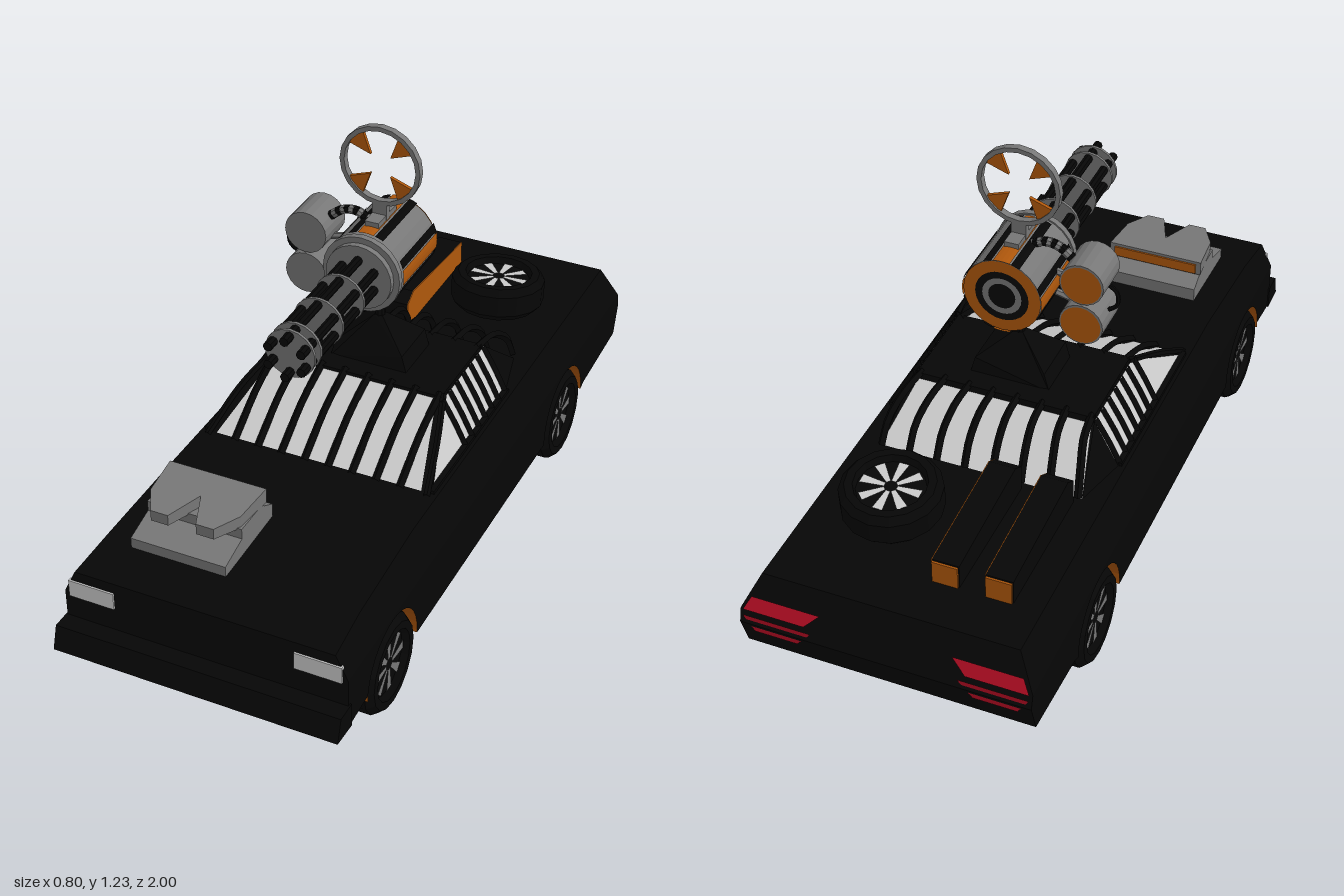
import * as THREE from 'three';

const mat = color => new THREE.MeshStandardMaterial({ color, side: THREE.DoubleSide, flatShading: true });
const BLACK = mat(0x060606), GREY = mat(0x777777), LIGHT = mat(0xcccccc), ORANGE = mat(0xb0580c), RED = mat(0xb80d24);
const V = (x, y, z) => new THREE.Vector3(x, y, z);
const shapeOf = pts => new THREE.Shape(pts.map(p => new THREE.Vector2(...p)));

export function createModel() {
  const root = new THREE.Group();
  const add = (name, geo, m, pos = [0, 0, 0], rot = [0, 0, 0], parent = root) => {
    const mesh = new THREE.Mesh(geo, m);
    mesh.name = name;
    mesh.position.set(...pos);
    mesh.rotation.set(...rot);
    parent.add(mesh);
    return mesh;
  };
  const box = (name, m, size, pos) => add(name, new THREE.BoxGeometry(...size), m, pos);
  const cylZ = (name, m, r, z0, z1, x, y, sides = 16) =>
    add(name, new THREE.CylinderGeometry(r, r, z1 - z0, sides), m, [x, y, (z0 + z1) / 2], [Math.PI / 2, 0, 0]);
  const tube = (name, m, pts, r, sides = 6, seg = 10) =>
    add(name, new THREE.TubeGeometry(new THREE.CatmullRomCurve3(pts), seg, r, sides), m);
  // flat convex panel from corner points
  const panel = pts => {
    const g = new THREE.BufferGeometry().setFromPoints(pts);
    const idx = [];
    for (let i = 1; i < pts.length - 1; i++) idx.push(0, i, i + 1);
    g.setIndex(idx);
    g.computeVertexNormals();
    return g;
  };
  // side profile of [z, y] points extruded from x0 to x1
  const slab = (name, m, pts, x0, x1) =>
    add(name, new THREE.ExtrudeGeometry(shapeOf(pts.map(([z, y]) => [-z, y])), { depth: x1 - x0, bevelEnabled: false }), m, [x0, 0, 0], [0, Math.PI / 2, 0]);

  // ---- body: strips across the car, then the two sides ----
  const width = y => y <= 0.3 ? 0.398 : 0.398 - (y - 0.3) * 0.48;
  const strip = (name, m, pts) => {
    for (let i = 0; i < pts.length - 1; i++) {
      const [z0, y0] = pts[i], [z1, y1] = pts[i + 1], a = width(y0), b = width(y1);
      add(name, panel([V(-a, y0, z0), V(a, y0, z0), V(b, y1, z1), V(-b, y1, z1)]), m);
    }
  };
  const AXLES = [0.67, -0.535];
  strip('bodyTop', BLACK, [[0.93, 0.15], [0.93, 0.3], [0.93, 0.37], [0.78, 0.385], [0.45, 0.4], [-0.95, 0.4], [-0.99, 0.3], [-1, 0.26], [-0.97, 0.17]]);
  const lower = new THREE.Shape();
  lower.moveTo(-0.93, 0.15);
  lower.lineTo(-AXLES[0] - 0.15, 0.16);
  lower.absarc(-AXLES[0], 0.14, 0.15, Math.PI, 0, true);
  lower.lineTo(-AXLES[0] + 0.15, 0.13);
  lower.lineTo(-AXLES[1] - 0.15, 0.13);
  lower.absarc(-AXLES[1], 0.14, 0.15, Math.PI, 0, true);
  lower.lineTo(0.71, 0.15);
  lower.lineTo(0.97, 0.17);
  // floor follows the lower edge, with a tunnel over each axle
  strip('floor', ORANGE, lower.getPoints(8).map(p => [-p.x, p.y]));
  [[1, 0.26], [0.99, 0.3], [-0.93, 0.3]].forEach(p => lower.lineTo(...p));
  const upper = shapeOf([[-0.93, 0.3], [0.99, 0.3], [0.95, 0.4], [-0.45, 0.4], [-0.78, 0.385], [-0.93, 0.37]]);
  for (const s of [1, -1]) for (const shape of [lower, upper]) {
    const g = new THREE.ShapeGeometry(shape, 8), p = g.attributes.position;
    for (let i = 0; i < p.count; i++) p.setXYZ(i, s * width(p.getY(i)), p.getY(i), -p.getX(i));
    if (s < 0) g.index.array.reverse();
    g.computeVertexNormals();
    add('bodySide', g, BLACK);
  }
  slab('frontBumper', BLACK, [[0.92, 0.15], [1, 0.155], [0.98, 0.22], [0.92, 0.22]], -0.402, 0.402);

  // ---- lamps ----
  for (const s of [1, -1]) {
    box('headlight', LIGHT, [0.13, 0.05, 0.012], [s * 0.318, 0.315, 0.929]);
    add('tailLightUpper', panel([V(s * 0.18, 0.338, -0.979), V(s * 0.37, 0.338, -0.979), V(s * 0.39, 0.3, -0.994), V(s * 0.22, 0.3, -0.994)]), RED);
    add('tailLightLower', panel([V(s * 0.2, 0.285, -0.998), V(s * 0.39, 0.285, -0.998), V(s * 0.36, 0.235, -0.996), V(s * 0.24, 0.235, -0.996)]), RED);
  }

  // ---- wheels, axles and drive shaft ----
  const wheel = (name, w, spokeMat) => {
    const g = new THREE.Group(), h = w / 2;
    g.name = name;
    const pts = [[0, -h + 0.02], [0.092, -h + 0.02], [0.098, -h], [0.12, -h], [0.137, -h + 0.02], [0.137, h - 0.02], [0.12, h], [0.098, h], [0.092, h - 0.02], [0, h - 0.02]];
    add('tyre', new THREE.LatheGeometry(pts.map(p => new THREE.Vector2(...p)), 16), BLACK, undefined, undefined, g);
    for (const s of [1, -1]) for (let i = 0; i < 8; i++) {
      const a = i * Math.PI / 4, y = s * (h - 0.014);
      const at = (r, t) => V(r * Math.cos(a + t), y, r * Math.sin(a + t));
      const pts = [at(0.018, -0.35), at(0.085, -0.17), at(0.085, 0.17), at(0.018, 0.35)];
      add('spoke', panel(s > 0 ? pts.reverse() : pts), spokeMat, undefined, undefined, g);
    }
    root.add(g);
    return g;
  };
  for (const z of AXLES) {
    for (const s of [1, -1]) {
      const w = wheel('wheel', 0.125, GREY);
      w.position.set(s * 0.339, 0.14, z);
      w.rotation.z = Math.PI / 2;
    }
    add('axle', new THREE.CylinderGeometry(0.016, 0.016, 0.6, 8), LIGHT, [0, 0.135, z], [0, 0, Math.PI / 2]);
  }
  slab('driveShaft', LIGHT, [[0.67, 0.12], [0.55, 0.08], [-0.4, 0.08], [-0.535, 0.12], [-0.535, 0.15], [-0.4, 0.122], [0.55, 0.122], [0.67, 0.15]], -0.03, 0.03);

  // ---- cabin ----
  add('windscreen', panel([V(-0.32, 0.4, 0.29), V(0.32, 0.4, 0.29), V(0.25, 0.53, 0.05), V(-0.25, 0.53, 0.05)]), LIGHT);
  add('rearWindow', panel([V(0.29, 0.4, -0.39), V(-0.29, 0.4, -0.39), V(-0.25, 0.52, -0.22), V(0.25, 0.52, -0.22)]), LIGHT);
  box('roof', BLACK, [0.51, 0.02, 0.28], [0, 0.527, -0.085]);
  for (const s of [1, -1]) {
    add('sideWindow', panel([V(s * 0.33, 0.4, 0.29), V(s * 0.33, 0.4, -0.23), V(s * 0.26, 0.53, -0.23), V(s * 0.26, 0.53, 0.05)]), LIGHT);
    add('rearQuarter', panel([V(s * 0.33, 0.4, -0.23), V(s * 0.29, 0.4, -0.39), V(s * 0.26, 0.53, -0.23)]), BLACK);
    add('frontPillar', panel([V(s * 0.305, 0.4, 0.296), V(s * 0.335, 0.4, 0.29), V(s * 0.265, 0.533, 0.05), V(s * 0.24, 0.534, 0.05)]), BLACK);
    tube('pillarBar', BLACK, [V(s * 0.325, 0.4, 0.305), V(s * 0.295, 0.48, 0.17), V(s * 0.255, 0.535, 0.04)], 0.009, 5);
    box('sideRail', BLACK, [0.02, 0.012, 0.52], [s * 0.33, 0.404, 0.03]);
    // side louvres lean with the window
    for (let i = 0; i < 7; i++) {
      const z = 0.06 - i * 0.047;
      tube('sideLouvre', BLACK, [V(s * 0.332, 0.4, z), V(s * 0.3, 0.465, z), V(s * 0.26, 0.533, z)], 0.01, 4, 4);
    }
  }
  // bars over windscreen and rear window
  for (let i = 0; i < 8; i++) {
    const x = (i - 3.5) * 0.07;
    tube('windscreenBar', BLACK, [V(x, 0.4, 0.3), V(x, 0.488, 0.165), V(x, 0.537, 0.04)], 0.011, 4, 6);
    tube('rearWindowBar', BLACK, [V(x, 0.533, -0.21), V(x * 1.05, 0.525, -0.3), V(x * 1.12, 0.48, -0.365), V(x * 1.15, 0.41, -0.4)], 0.011, 4, 8);
  }

  // ---- bonnet scoop ----
  slab('scoopBase', GREY, [[0.8, 0.385], [0.8, 0.415], [0.71, 0.44], [0.71, 0.47], [0.59, 0.47], [0.59, 0.46], [0.545, 0.435], [0.545, 0.39]], -0.275, -0.003);
  const lid = shapeOf([[-0.28, -0.58], [0, -0.58], [-0.01, -0.7], [-0.05, -0.77], [-0.1, -0.77], [-0.14, -0.67], [-0.18, -0.77], [-0.23, -0.77], [-0.27, -0.7]]);
  const lidGeo = new THREE.ExtrudeGeometry(lid, { depth: 0.035, bevelEnabled: false }), lp = lidGeo.attributes.position;
  // roof of the scoop dips toward its nose
  for (let i = 0; i < lp.count; i++) if (lp.getZ(i) > 0.01) lp.setZ(i, 0.043 + (lp.getY(i) + 0.58) * 0.06);
  add('scoopLid', lidGeo, GREY, [0, 0.466, 0], [-Math.PI / 2, 0, 0]);
  box('scoopMouth', ORANGE, [0.25, 0.03, 0.006], [-0.14, 0.485, 0.578]);

  // ---- boot: spare wheel and two ducts ----
  const spare = wheel('spareWheel', 0.1, LIGHT);
  spare.position.set(0.14, 0.465, -0.63);
  spare.rotation.x = -0.1;
  for (const x of [-0.235, -0.09]) {
    const profile = [[-0.41, 0.395], [-0.41, 0.475], [-0.45, 0.5], [-0.81, 0.47], [-0.81, 0.395]];
    slab('duct', BLACK, profile, x - 0.038, x + 0.036);
    slab('ductInnerWall', ORANGE, profile, x + 0.036, x + 0.038);
    box('ductOutlet', ORANGE, [0.07, 0.065, 0.008], [x, 0.433, -0.812]);
  }

  // ---- turret mount ----
  const GX = 0.01, GY = 0.848, GZ = -0.085;
  const mount = shapeOf([[-0.115, 0.53], [0.115, 0.53], [0.1, 0.585], [0.012, 0.655], [-0.012, 0.655], [-0.1, 0.585]]);
  const mg = new THREE.ExtrudeGeometry(mount, { depth: 0.155, bevelEnabled: false }), mp = mg.attributes.position;
  for (let i = 0; i < mp.count; i++) mp.setZ(i, (mp.getZ(i) - 0.0775) * (mp.getY(i) > 0.6 ? 0.15 : 1));
  add('turretMount', mg, BLACK, [GX, 0, GZ]);
  add('turretPost', new THREE.CylinderGeometry(0.014, 0.014, 0.12, 8), BLACK, [GX, 0.69, GZ]);
  box('lowerBracket', GREY, [0.03, 0.035, 0.12], [GX, 0.73, GZ]);

  // ---- rotary gun ----
  cylZ('housing', GREY, 0.108, -0.205, 0.035, GX, GY, 24);
  cylZ('housingFront', GREY, 0.095, 0.035, 0.055, GX, GY, 24);
  cylZ('housingLip', GREY, 0.112, 0.02, 0.038, GX, GY, 24);
  for (let q = 0; q < 4; q++) for (const [m, off, span] of [[ORANGE, 0, 0.42], [BLACK, 0.36, 0.22], [BLACK, -0.36, 0.22]])
    add('housingStripe', new THREE.CylinderGeometry(0.111, 0.111, 0.22, 4, 1, true, q * Math.PI / 2 + off - span / 2, span), m, [GX, GY, -0.1], [Math.PI / 2, 0, 0]);
  for (const [m, a, b] of [[ORANGE, 0.075, 0.108], [BLACK, 0.055, 0.075], [GREY, 0.038, 0.055], [BLACK, 0, 0.038]])
    add('housingRearRing', new THREE.RingGeometry(a, b, 24), m, [GX, GY, -0.208], [0, Math.PI, 0]);
  for (let i = 0; i < 6; i++) {
    const a = Math.PI / 2 + i * Math.PI / 3;
    cylZ('barrel', BLACK, 0.013, 0.05, 0.485, GX + 0.053 * Math.cos(a), GY + 0.053 * Math.sin(a), 8);
  }
  for (const z of [0.16, 0.285, 0.41, 0.445]) cylZ('barrelClamp', GREY, 0.07, z, z + 0.008, GX, GY, 18);

  // ---- ring sight ----
  box('sightSaddle', GREY, [0.04, 0.025, 0.115], [GX, 0.96, GZ]);
  box('sightStem', GREY, [0.042, 0.055, 0.02], [GX, 0.982, GZ]);
  const ring = new THREE.Shape().absarc(0, 0, 0.116, 0, Math.PI * 2);
  ring.holes.push(new THREE.Path().absarc(0, 0, 0.103, 0, Math.PI * 2, true));
  add('sightRing', new THREE.ExtrudeGeometry(ring, { depth: 0.02, bevelEnabled: false, curveSegments: 10 }), GREY, [GX, 1.115, GZ - 0.01]);
  const pointer = new THREE.ExtrudeGeometry(shapeOf([[0.04, 0], [0.103, -0.03], [0.103, 0.03]]), { depth: 0.01, bevelEnabled: false });
  for (let i = 0; i < 4; i++) add('sightPointer', pointer, ORANGE, [GX, 1.115, GZ - 0.005], [0, 0, Math.PI / 4 + i * Math.PI / 2]);

  // ---- ammunition drums and feed ----
  for (const y of [0.893, 0.767]) {
    cylZ('drum', GREY, 0.061, -0.145, -0.025, -0.185, y, 20);
    add('drumRear', new THREE.CircleGeometry(0.056, 20), ORANGE, [-0.185, y, -0.147], [0, Math.PI, 0]);
    const dy = y > 0.83 ? -0.03 : 0.03;
    tube('drumBrace', GREY, [V(-0.14, y + dy, GZ), V(-0.08, y + dy + 0.015, GZ)], 0.01, 6, 1);
  }
  const feed = new THREE.CatmullRomCurve3([V(-0.14, 0.925, GZ), V(-0.1, 0.955, GZ), V(-0.06, 0.96, GZ), V(-0.02, 0.94, GZ)]);
  for (let i = 0; i < 10; i++)
    add('feedLink', new THREE.TubeGeometry(new THREE.LineCurve3(feed.getPoint(i / 10), feed.getPoint((i + 1) / 10)), 1, 0.013, 8), i % 2 ? GREY : BLACK);
  tube('drumHose', BLACK, [V(-0.23, 0.875, GZ), V(-0.262, 0.85, GZ), V(-0.262, 0.81, GZ), V(-0.23, 0.785, GZ)], 0.006);
  return root;
}
